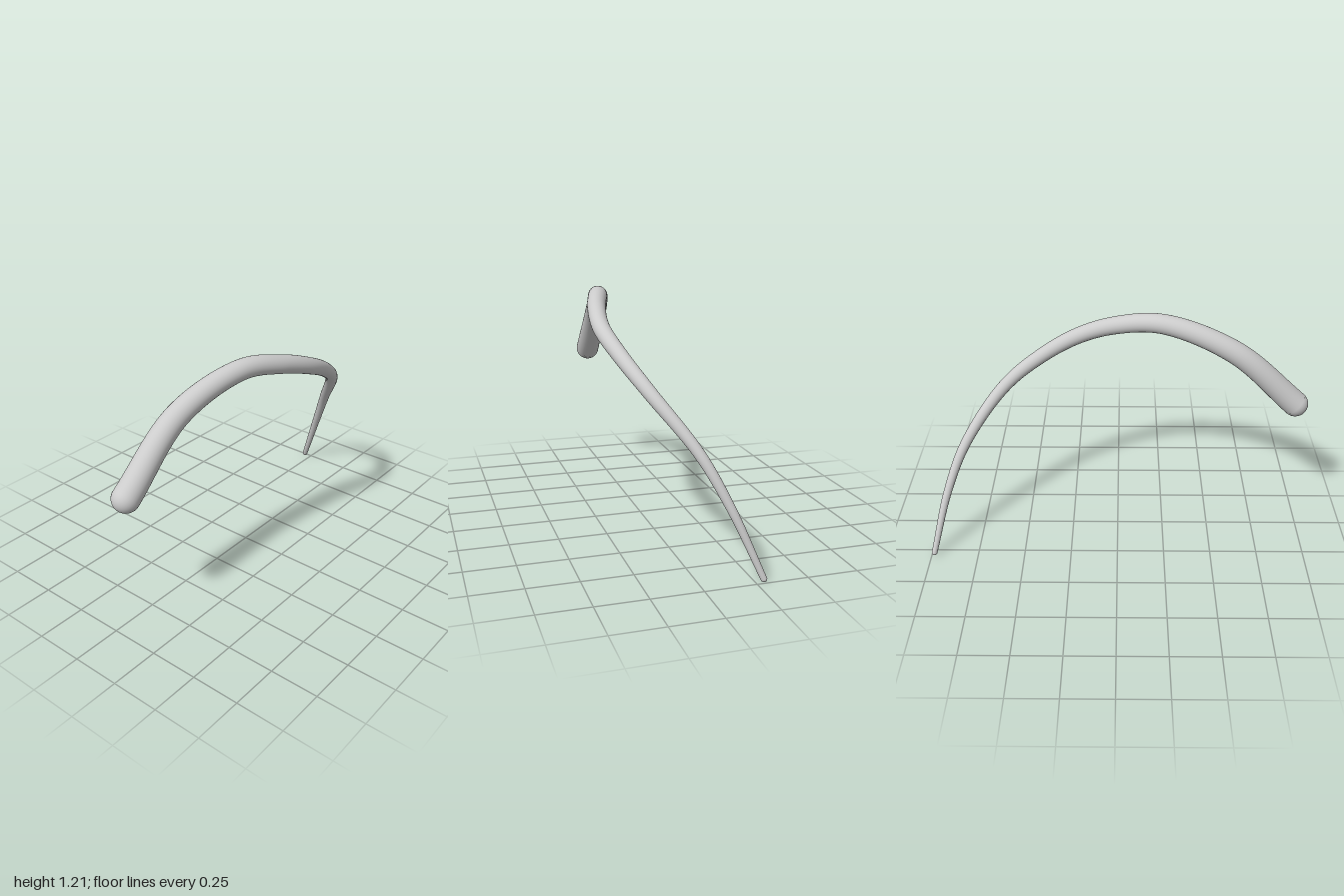
import * as THREE from 'three';

const START_RADIUS = 0.067;
const END_RADIUS = 0.015;
const SIDES = 32;
const STEPS = 160;

// Centre line, from the thick front end to the thin back tip
const path = new THREE.CatmullRomCurve3([
  [0.067, 0.746, 0.932],
  [0.088, 1.035, 0.6],
  [0.165, 1.155, 0.24],
  [0.23, 1.12, 0],
  [0.254, 1.05, -0.2],
  [0.215, 0.95, -0.4],
  [0.13, 0.81, -0.6],
  [-0.04, 0.565, -0.8],
  [-0.155, 0.335, -0.9],
  [-0.288, 0.015, -0.985],
].map((p) => new THREE.Vector3(...p)), false, 'centripetal');
path.arcLengthDivisions = 600;

// Tube whose radius shrinks evenly along its length
function taperedTube() {
  const geometry = new THREE.TubeGeometry(path, STEPS, 1, SIDES, false);
  const position = geometry.attributes.position;
  const v = new THREE.Vector3();
  for (let i = 0; i <= STEPS; i++) {
    const centre = path.getPointAt(i / STEPS);
    const radius = THREE.MathUtils.lerp(START_RADIUS, END_RADIUS, i / STEPS);
    for (let j = 0; j <= SIDES; j++) {
      const k = i * (SIDES + 1) + j;
      v.fromBufferAttribute(position, k).sub(centre).multiplyScalar(radius).add(centre);
      position.setXYZ(k, v.x, v.y, v.z);
    }
  }
  return geometry;
}

// Hemisphere that rounds off one end of the tube
function roundedEnd(name, u, radius, direction, material) {
  const dome = new THREE.SphereGeometry(radius, SIDES, 12, 0, Math.PI * 2, 0, Math.PI / 2);
  const mesh = new THREE.Mesh(dome, material);
  mesh.name = name;
  mesh.position.copy(path.getPointAt(u));
  const outward = path.getTangentAt(u).multiplyScalar(direction);
  mesh.quaternion.setFromUnitVectors(new THREE.Vector3(0, 1, 0), outward);
  return mesh;
}

export function createModel() {
  const group = new THREE.Group();
  group.name = 'curvedTail';
  const material = new THREE.MeshStandardMaterial({ color: 0xcccccc });

  const body = new THREE.Mesh(taperedTube(), material);
  body.name = 'taperedBody';
  group.add(body);
  group.add(roundedEnd('thickEnd', 0, START_RADIUS, -1, material));
  group.add(roundedEnd('thinTip', 1, END_RADIUS, 1, material));
  return group;
}
